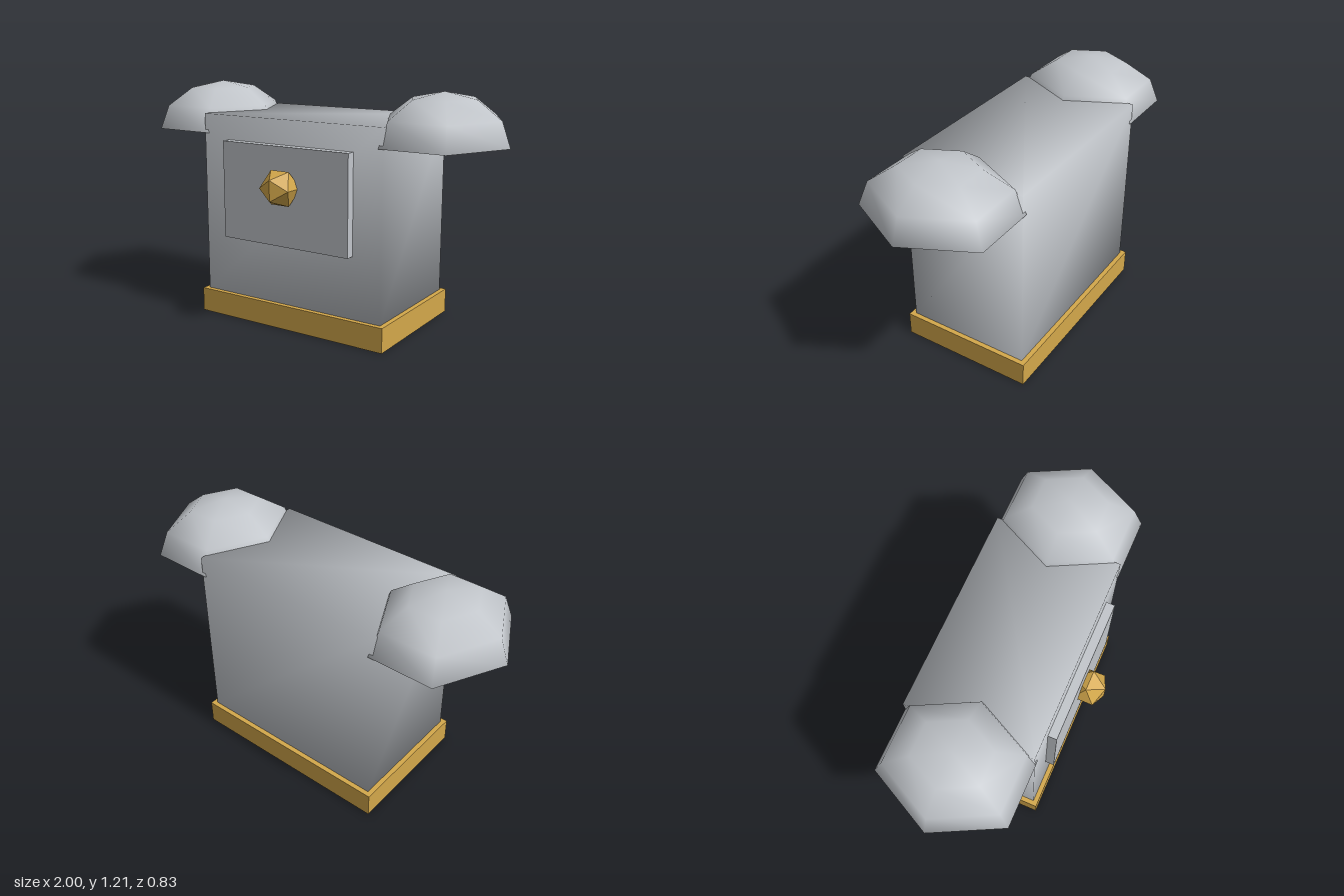
import * as THREE from 'three';
import { mergeVertices } from 'three/addons/utils/BufferGeometryUtils.js';

export function createModel() {
  const model = new THREE.Group();
  model.name = 'breastplate';

  const steel = new THREE.MeshStandardMaterial({ name: 'steel', color: 0xc2c6cb });
  const openSteel = steel; // shoulder shells are open underneath
  openSteel.side = THREE.DoubleSide;
  const gold = new THREE.MeshStandardMaterial({ name: 'gold', color: 0xd4a84b, side: THREE.DoubleSide });

  const MID_Z = -0.065;

  function add(name, geometry, material, x, y, z) {
    const mesh = new THREE.Mesh(geometry, material);
    mesh.name = name;
    mesh.position.set(x, y, z);
    model.add(mesh);
    return mesh;
  }

  // Torso: a box with shared corners, so its shading runs softly around the edges
  let torso = new THREE.BoxGeometry(1.05, 0.94, 0.65);
  torso.deleteAttribute('normal');
  torso.deleteAttribute('uv');
  torso = mergeVertices(torso);
  torso.computeVertexNormals();
  add('torso', torso, steel, 0, 0.595, MID_Z);

  // Belt around the bottom
  add('belt', new THREE.BoxGeometry(1.1, 0.125, 0.7), gold, 0, 0.0625, MID_Z);

  // Chest plate with a faceted gem
  add('chestPlate', new THREE.BoxGeometry(0.74, 0.5, 0.05), steel, 0, 0.69, 0.28);
  add('chestGem', new THREE.IcosahedronGeometry(0.1, 0), gold, 0, 0.74, 0.33);

  // Shoulders: hexagonal half domes, each with a curved rib inside
  const dome = new THREE.SphereGeometry(1, 6, 3, 0, Math.PI * 2, 0, Math.PI / 2);
  dome.scale(0.332, 0.245, 0.382);
  const rib = new THREE.TorusGeometry(0.295, 0.02, 6, 12, Math.PI);
  rib.scale(1, 0.7, 1);
  for (const [side, s] of [['left', 1], ['right', -1]]) {
    add(side + 'Shoulder', dome, openSteel, s * 0.668, 0.965, MID_Z);
    add(side + 'ShoulderRib', rib, gold, s * 0.668, 0.967, MID_Z);
  }

  return model;
}
